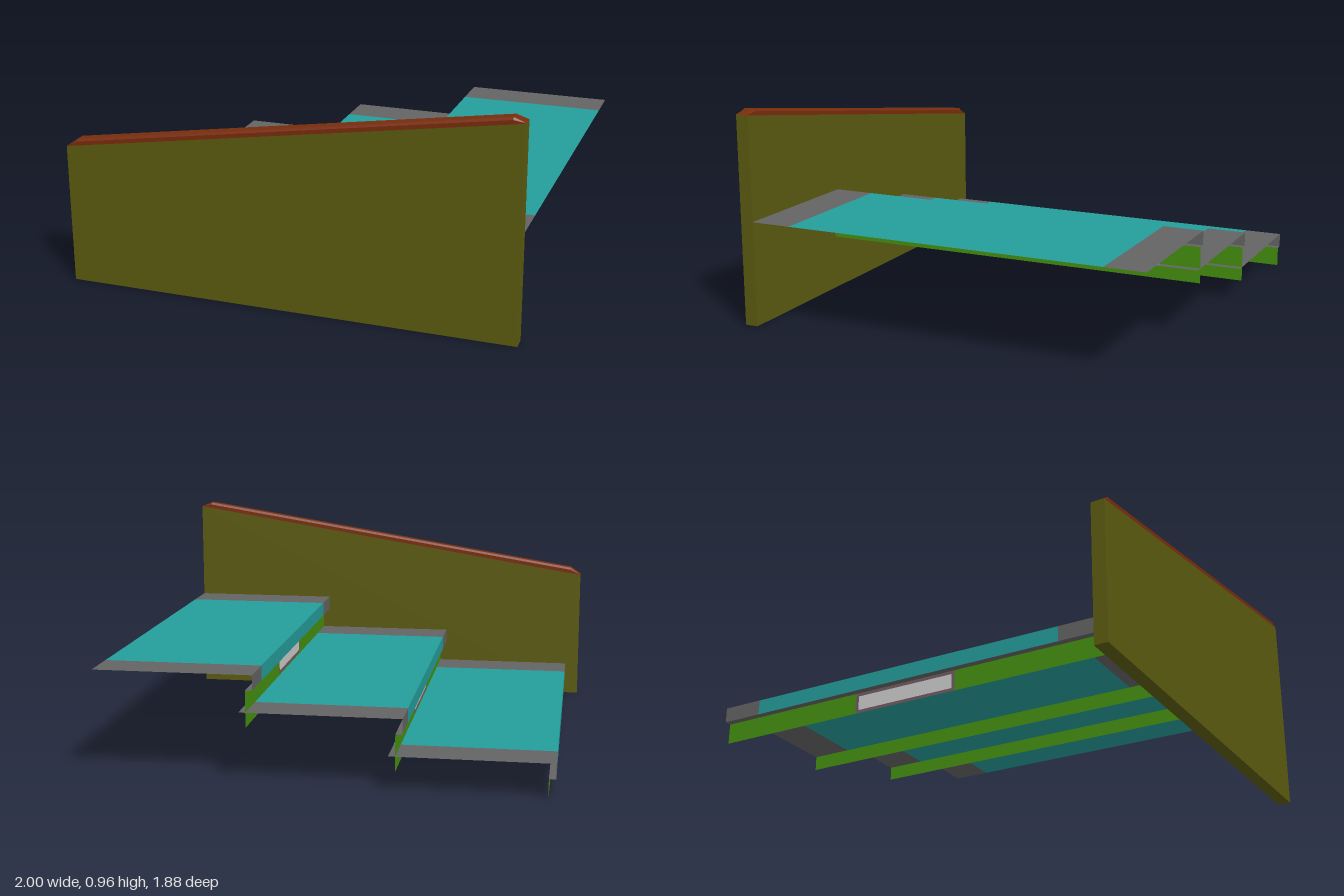
import * as THREE from 'three';

const paint = (color) => new THREE.MeshStandardMaterial({ color, side: THREE.DoubleSide, flatShading: true });
const mats = {
  olive: paint(0x5a5a10), brown: paint(0x782c0c), green: paint(0x458f10), teal: paint(0x249c99),
  grey: paint(0x636363), frame: paint(0x705a60), panel: paint(0xcccccc),
};
const BACK = -0.94, FRONT = 0.88, RISE = 0.16, LIP = 0.065, WIDTH = 0.685;

function add(parent, name, geometry, material) {
  const mesh = new THREE.Mesh(geometry, material);
  mesh.name = name;
  parent.add(mesh);
  return mesh;
}

// Upright rectangle facing -x, spanning z0..z1 and y0..y1
function upright(parent, name, material, x, z0, z1, y0, y1) {
  const mesh = add(parent, name, new THREE.PlaneGeometry(z1 - z0, y1 - y0), material);
  mesh.rotation.y = -Math.PI / 2;
  mesh.position.set(x, (y0 + y1) / 2, (z0 + z1) / 2);
}

// Level rectangle facing up
function level(parent, name, material, y, x0, x1, z0, z1) {
  const mesh = add(parent, name, new THREE.PlaneGeometry(x1 - x0, z1 - z0), material);
  mesh.rotation.x = -Math.PI / 2;
  mesh.position.set((x0 + x1) / 2, y, (z0 + z1) / 2);
}

// Thin tread with a hanging nosing, and a set-back riser with a framed light panel
function createStep(i) {
  const step = new THREE.Group();
  step.name = 'step' + (i + 1);
  const x = -0.935 + i * 0.625, top = 0.155 + i * RISE, y1 = top - LIP;
  const y0 = Math.max(0, y1 - RISE), rx = x + 0.03;

  const bands = [
    ['treadBackBand', mats.grey, BACK, -0.76],
    ['tread', mats.teal, -0.76, 0.695],
    ['treadFrontBand', mats.grey, 0.695, FRONT],
  ];
  for (const [name, mat, z0, z1] of bands) {
    level(step, name, mat, top, x, x + WIDTH, z0, z1);
    upright(step, name + 'Nosing', mat, x, z0, z1, y1, top);
  }
  // underside of the nosing, back to the riser
  level(step, 'nosingUnderside', mats.grey, y1, x, rx, BACK, FRONT);

  const f0 = -0.27, f1 = 0.21, fy = Math.max(0, y1 - 0.09), b = 0.014;
  upright(step, 'riserBack', mats.green, rx, BACK, f0, y0, y1);
  upright(step, 'riserFront', mats.green, rx, f1, FRONT, y0, y1);
  if (fy > y0 + 0.001) upright(step, 'riserBelowPanel', mats.green, rx, f0, f1, y0, fy);
  upright(step, 'panelFrameBottom', mats.frame, rx, f0, f1, fy, fy + b);
  upright(step, 'panelFrameTop', mats.frame, rx, f0, f1, y1 - b, y1);
  upright(step, 'panelFrameBack', mats.frame, rx, f0, f0 + b, fy + b, y1 - b);
  upright(step, 'panelFrameFront', mats.frame, rx, f1 - b, f1, fy + b, y1 - b);
  upright(step, 'lightPanel', mats.panel, rx, f0 + b, f1 - b, fy + b, y1 - b);
  return step;
}

export function createModel() {
  const model = new THREE.Group();
  model.name = 'stairs';
  for (let i = 0; i < 3; i++) model.add(createStep(i));

  // Side wall with a sloping top
  const slope = (x) => 0.785 + 0.16 * x;
  const shape = new THREE.Shape([[-1, 0], [1, 0], [1, slope(1)], [-1, slope(-1)]].map((p) => new THREE.Vector2(...p)));
  const wall = add(model, 'sideWall', new THREE.ExtrudeGeometry(shape, { depth: 0.06, bevelEnabled: false }), mats.olive);
  wall.position.z = FRONT;

  // Handrail: bevelled strip following the slope, tapering at both ends
  const rail = new THREE.BoxGeometry(2, 1, 3, 3, 1, 3);
  const pos = rail.attributes.position;
  const zs = [-0.03, -0.021, 0.021, 0.03];
  for (let i = 0; i < pos.count; i++) {
    const end = Math.abs(pos.getX(i)) > 0.9;
    const x = Math.sign(pos.getX(i)) * (end ? 1 : 0.95);
    const row = Math.round(pos.getZ(i) + 1.5);
    const outer = row === 0 || row === 3;
    const lift = pos.getY(i) < 0 || end ? 0 : outer ? 0.018 : 0.028;
    pos.setXYZ(i, x, slope(x) + lift, zs[row]);
  }
  rail.computeVertexNormals();
  add(model, 'handrail', rail, mats.brown).position.z = FRONT + 0.03;
  return model;
}
